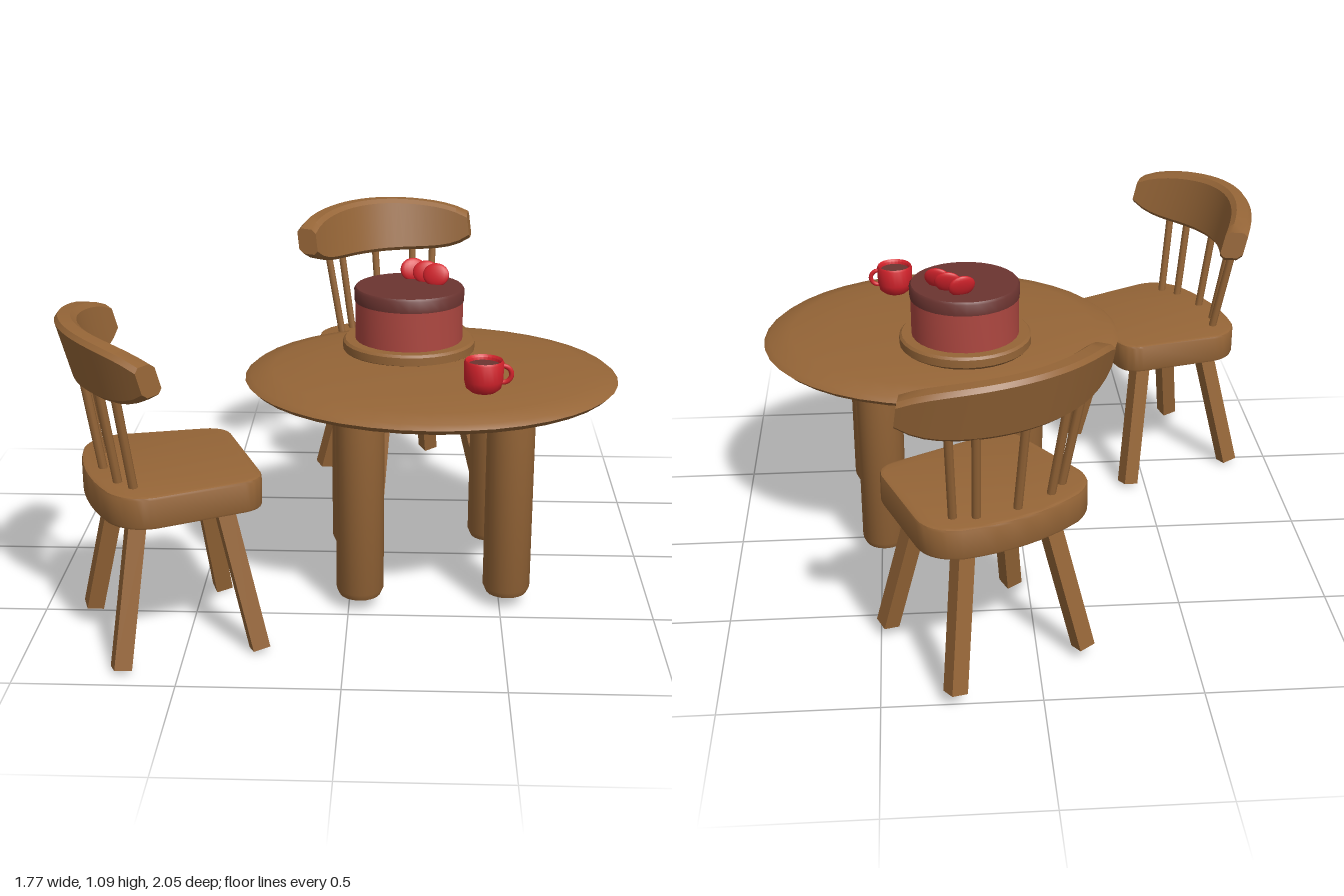
import * as THREE from 'three';
import { toCreasedNormals } from 'three/addons/utils/BufferGeometryUtils.js';

const material = (name, color) => Object.assign(new THREE.MeshStandardMaterial({ color }), { name });
const wood = material('wood', 0x956537);
const sponge = material('pinkSponge', 0xad4740);
const chocolate = material('chocolate', 0x6b3430);
const red = material('red', 0xd2222b);

function add(parent, name, geometry, mat, x = 0, y = 0, z = 0) {
  const mesh = new THREE.Mesh(geometry, mat);
  mesh.name = name;
  mesh.position.set(x, y, z);
  parent.add(mesh);
  return mesh;
}

function lathe(points, segments = 32) {
  const profile = points.map(([r, y]) => new THREE.Vector2(r, y));
  return toCreasedNormals(new THREE.LatheGeometry(profile, segments), 0.7);
}

// Straight bar between two points
function bar(parent, name, from, to, makeGeometry) {
  const a = new THREE.Vector3(...from), b = new THREE.Vector3(...to);
  const dir = b.clone().sub(a);
  const mesh = add(parent, name, makeGeometry(dir.length()), wood);
  mesh.position.copy(a).lerp(b, 0.5);
  mesh.quaternion.setFromUnitVectors(new THREE.Vector3(0, 1, 0), dir.normalize());
}

// Seat slab: rounded corners, a little wider towards the curved back
function seatGeometry() {
  const s = new THREE.Shape();
  s.moveTo(-0.18, 0.24);
  s.lineTo(0.18, 0.24);
  s.quadraticCurveTo(0.235, 0.235, 0.245, 0.18);
  s.lineTo(0.28, -0.1);
  s.quadraticCurveTo(0.285, -0.18, 0.2, -0.22);
  s.quadraticCurveTo(0, -0.28, -0.2, -0.22);
  s.quadraticCurveTo(-0.285, -0.18, -0.28, -0.1);
  s.lineTo(-0.245, 0.18);
  s.quadraticCurveTo(-0.235, 0.235, -0.18, 0.24);
  const g = new THREE.ExtrudeGeometry(s, {
    depth: 0.084, bevelThickness: 0.01, bevelSize: 0.01, bevelSegments: 2, curveSegments: 8,
  });
  return toCreasedNormals(g.rotateX(Math.PI / 2), 0.7);
}

// Curved, leaning top rail lofted from chamfered sections
function backrestGeometry() {
  const stations = 20, t = 0.033, c = 0.014, pos = [], index = [];
  for (let i = 0; i <= stations; i++) {
    const s = (i / stations) * 2 - 1;
    const hi = 1.065 - 0.035 * s * s - 0.02 * s ** 8;
    const lo = 0.868 + 0.05 * s ** 6;
    const ring = [[-t, lo + c], [-t, hi - c], [c - t, hi], [t - c, hi],
      [t, hi - c], [t, lo + c], [t - c, lo], [c - t, lo]];
    for (const [z, y] of ring) {
      pos.push(0.35 * s - z * s * 0.7, y, z - 0.265 + 0.145 * s * s - 0.27 * (y - 0.965));
    }
  }
  for (let i = 0; i < stations; i++) {
    for (let j = 0; j < 8; j++) {
      const a = i * 8 + j, b = i * 8 + (j + 1) % 8;
      index.push(a, b, a + 8, b, b + 8, a + 8);
    }
  }
  const e = stations * 8;
  for (let j = 1; j < 7; j++) index.push(0, j + 1, j, e, e + j, e + j + 1);
  const g = new THREE.BufferGeometry();
  g.setAttribute('position', new THREE.Float32BufferAttribute(pos, 3));
  g.setIndex(index);
  return toCreasedNormals(g, 0.6);
}

function makeChair(name, x, y, z, angle) {
  const chair = new THREE.Group();
  chair.name = name;
  add(chair, 'seat', seatGeometry(), wood, 0, 0.575, 0);
  add(chair, 'backrest', backrestGeometry(), wood);
  // Splayed square legs
  for (const sx of [-1, 1]) {
    for (const sz of [-1, 1]) {
      bar(chair, 'chairLeg', [sx * 0.235, 0.014, sz * 0.22], [sx * 0.145, 0.5, sz * 0.13],
        (h) => new THREE.BoxGeometry(0.055, h, 0.055));
    }
  }
  // Spindles fanning out to the rail
  for (const [v, u] of [[-0.19, -0.145], [-0.13, -0.18], [0, -0.2], [0.13, -0.18], [0.19, -0.145]]) {
    bar(chair, 'spindle', [v, 0.56, u], [v * 1.22, 0.92, u - 0.055],
      (h) => new THREE.CylinderGeometry(0.014, 0.014, h, 8));
  }
  chair.position.set(x, y, z);
  chair.rotation.y = THREE.MathUtils.degToRad(angle);
  return chair;
}

function makeTable() {
  const table = new THREE.Group();
  table.name = 'table';
  const top = lathe([[0, 0.67], [0.6, 0.677], [0.88, 0.694], [0.97, 0.71], [1, 0.727],
    [0.97, 0.741], [0.85, 0.757], [0.6, 0.77], [0, 0.776]], 40);
  add(table, 'tableTop', top.scale(0.62, 1, 0.555), wood, 0.264, 0, 0.16);
  const legProfile = [[0, 0.04], [0.05, 0.04], [0.068, 0.048], [0.078, 0.07], [0.078, 0.72]];
  for (const [x, z] of [[0.037, 0.418], [0.523, 0.381], [0.002, -0.018], [0.487, -0.085]]) {
    add(table, 'tableLeg', lathe(legProfile, 20), wood, x, 0, z);
  }
  return table;
}

function makeCake() {
  const cake = new THREE.Group();
  cake.name = 'cake';
  add(cake, 'cakeBoard', lathe([[0, 0.765], [0.215, 0.765], [0.225, 0.775], [0.225, 0.802],
    [0.217, 0.81], [0, 0.81]]), wood);
  add(cake, 'sponge', lathe([[0, 0.805], [0.183, 0.805], [0.183, 0.95], [0, 0.95]]), sponge);
  add(cake, 'icing', lathe([[0, 0.943], [0.186, 0.943], [0.187, 0.982], [0.181, 0.99], [0, 0.99]]), chocolate);
  // Row of leaning fruit slices
  for (const [x, z, yaw] of [[0.013, -0.11, 0.3], [0.057, -0.072, -0.08], [0.09, -0.035, -0.28]]) {
    const slice = add(cake, 'fruitSlice', new THREE.SphereGeometry(1, 16, 12), red, x, 1.02, z);
    slice.scale.set(0.046, 0.04, 0.014);
    slice.rotation.set(-0.3, yaw, 0, 'YXZ');
  }
  cake.position.set(0.188, 0, -0.004);
  return cake;
}

function makeMug() {
  const mug = new THREE.Group();
  mug.name = 'mug';
  add(mug, 'cup', lathe([[0, 0.772], [0.04, 0.772], [0.056, 0.785], [0.062, 0.81], [0.063, 0.868],
    [0.059, 0.875], [0.052, 0.868], [0.05, 0.85], [0, 0.85]], 24), red);
  add(mug, 'drink', new THREE.CylinderGeometry(0.051, 0.051, 0.008, 24), chocolate, 0, 0.855, 0);
  const handle = add(mug, 'handle', new THREE.TorusGeometry(0.027, 0.008, 8, 16, Math.PI * 1.2), red, 0.06, 0.828, 0);
  handle.rotation.z = -Math.PI * 0.6;
  mug.position.set(0.426, 0, 0.457);
  return mug;
}

export function createModel() {
  const model = new THREE.Group();
  model.name = 'tableSet';
  model.add(
    makeTable(),
    makeCake(),
    makeMug(),
    makeChair('sideChair', -0.556, 0, 0.615, 111),
    makeChair('backChair', 0.166, 0.03, -0.689, 28),
  );
  return model;
}
